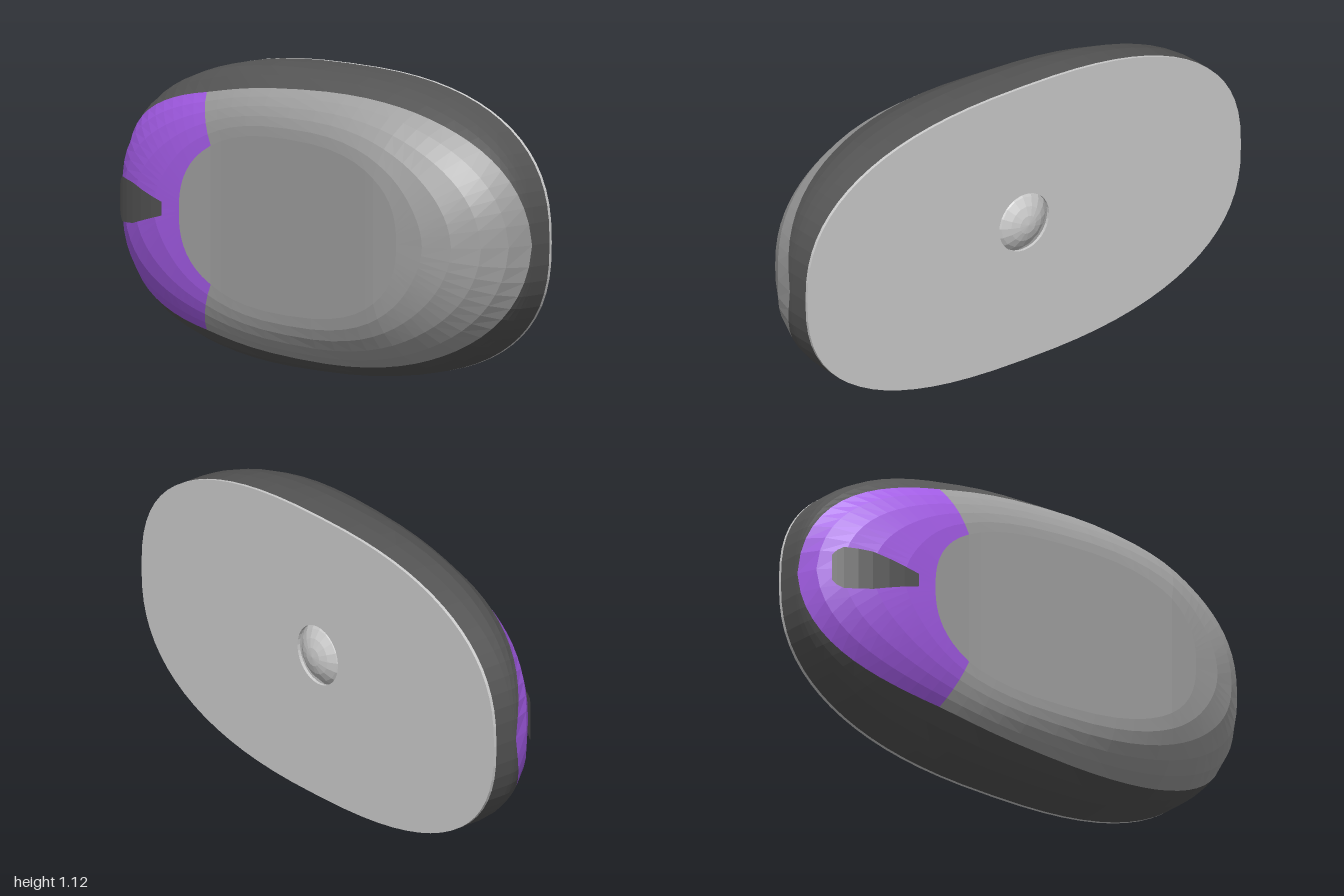
import * as THREE from 'three';

const CY = 0.5625;          // height of the centre line
const N = 72;               // segments round the body
const Z_WALL = -0.11;       // where the upright wall starts to curve inwards

const spow = (v, p) => Math.sign(v) * Math.abs(v) ** p;

// rounded outline of the base and of the flat palm rest
const outline = (t) => [spow(Math.cos(t), 0.8), CY + 0.5625 * spow(Math.sin(t), 0.8)];
function capEdge(t) {
  const a = t - 0.39 * Math.sin(2 * t);
  const x = 0.04 + 0.58 * spow(Math.cos(a), 0.8);
  const z = THREE.MathUtils.clamp(0.176 + 0.0977 * x, 0.14, 0.225);
  return [x, CY + 0.325 * spow(Math.sin(a), 0.8), z];
}

// point on the domed shell: angle t round the body, f from wall (0) to palm rest (PI/2)
function shell(t, f) {
  const [px, py] = outline(t), [cx, cy, cz] = capEdge(t);
  const k = Math.cos(f);
  return [cx + (px - cx) * k, cy + (py - cy) * k, Z_WALL + (cz - Z_WALL) * Math.sin(f)];
}

// curved seam between the dark side and the light top
function seam(t) {
  const z = -0.095 + 0.185 * Math.abs(Math.sin(t)) ** 1.1;
  return Math.asin((z - Z_WALL) / (capEdge(t)[2] - Z_WALL));
}

// surface through rows of points
function grid(rows) {
  const w = rows[0].length, index = [];
  for (let r = 0; r < rows.length - 1; r++) {
    for (let c = 0; c < w - 1; c++) {
      const a = r * w + c, d = a + w;
      index.push(a, a + 1, d, a + 1, d + 1, d);
    }
  }
  const g = new THREE.BufferGeometry();
  g.setAttribute('position', new THREE.Float32BufferAttribute(rows.flat(2), 3));
  g.setIndex(index);
  g.computeVertexNormals();
  return g;
}

// columns from step i0 to step i1, one row per entry of fns
const band = (i0, i1, fns) => grid(fns.map((fn) =>
  Array.from({ length: i1 - i0 + 1 }, (_, i) => fn(((i0 + i) / N) * Math.PI * 2))));

export function createModel() {
  const model = new THREE.Group();
  const paint = (color) => new THREE.MeshStandardMaterial({ color, flatShading: true, side: THREE.DoubleSide });
  const light = paint(0xcccccc), top = paint(0xa0a0a0), dark = paint(0x555555), purple = paint(0xa45ce8);
  const add = (name, geometry, material) => {
    const mesh = new THREE.Mesh(geometry, material);
    mesh.name = name;
    model.add(mesh);
    return mesh;
  };

  // dark side wall, upright then curving in to the seam
  const wall = [-0.188, Z_WALL].map((z) => (t) => [...outline(t), z]);
  const lower = [1, 2, 3].map((i) => (t) => shell(t, seam(t) * i / 3));
  add('sideWall', band(0, N, [...wall, ...lower]), dark);

  // light top shell and purple buttons share the same rows
  const upper = [0, 1, 2, 3, 4, 5].map((i) => (t) =>
    shell(t, THREE.MathUtils.lerp(seam(t), Math.PI / 2, i / 5)));
  const cut = 23;
  add('topShell', band(-cut, cut, upper), top);
  add('buttons', band(cut, N - cut, upper), purple);

  // palm rest, bridging the two halves of its edge
  add('palmRest', band(0, N / 2, [capEdge, (t) => capEdge(-t)]), top);

  // tapered dark patch between the buttons, lying just proud of the shell
  const widths = [[-0.93, 0.05], [-0.915, 0.07], [-0.895, 0.083], [-0.85, 0.08], [-0.8, 0.075],
    [-0.74, 0.058], [-0.68, 0.041], [-0.62, 0.025]];
  const patch = widths.map(([x, h]) => {
    const k = (-0.54 - x) / 0.46, s = Math.sqrt(1 - k * k);
    const px = x - 0.008 * k, pz = Z_WALL + 0.25 * s + 0.008 * s;
    return [[px, CY + h, pz], [px, CY - h, pz]];
  });
  add('scrollPatch', grid(patch.map((row) => row.reverse())), dark);

  // base plate with the round ball opening
  const plate = new THREE.Shape(Array.from({ length: N }, (_, i) =>
    new THREE.Vector2(...outline((i / N) * Math.PI * 2))));
  plate.holes.push(new THREE.Path().absarc(0, CY + 0.005, 0.115, 0, Math.PI * 2, true));
  const base = new THREE.ExtrudeGeometry(plate, { depth: 0.012, bevelEnabled: false, curveSegments: 16 });
  add('basePlate', base, light).position.z = -0.2;

  // tracking ball, poles along z
  const ball = add('ball', new THREE.SphereGeometry(0.16, 16, 14).rotateX(Math.PI / 2), light);
  ball.position.set(0, CY + 0.005, -0.068);

  return model;
}
